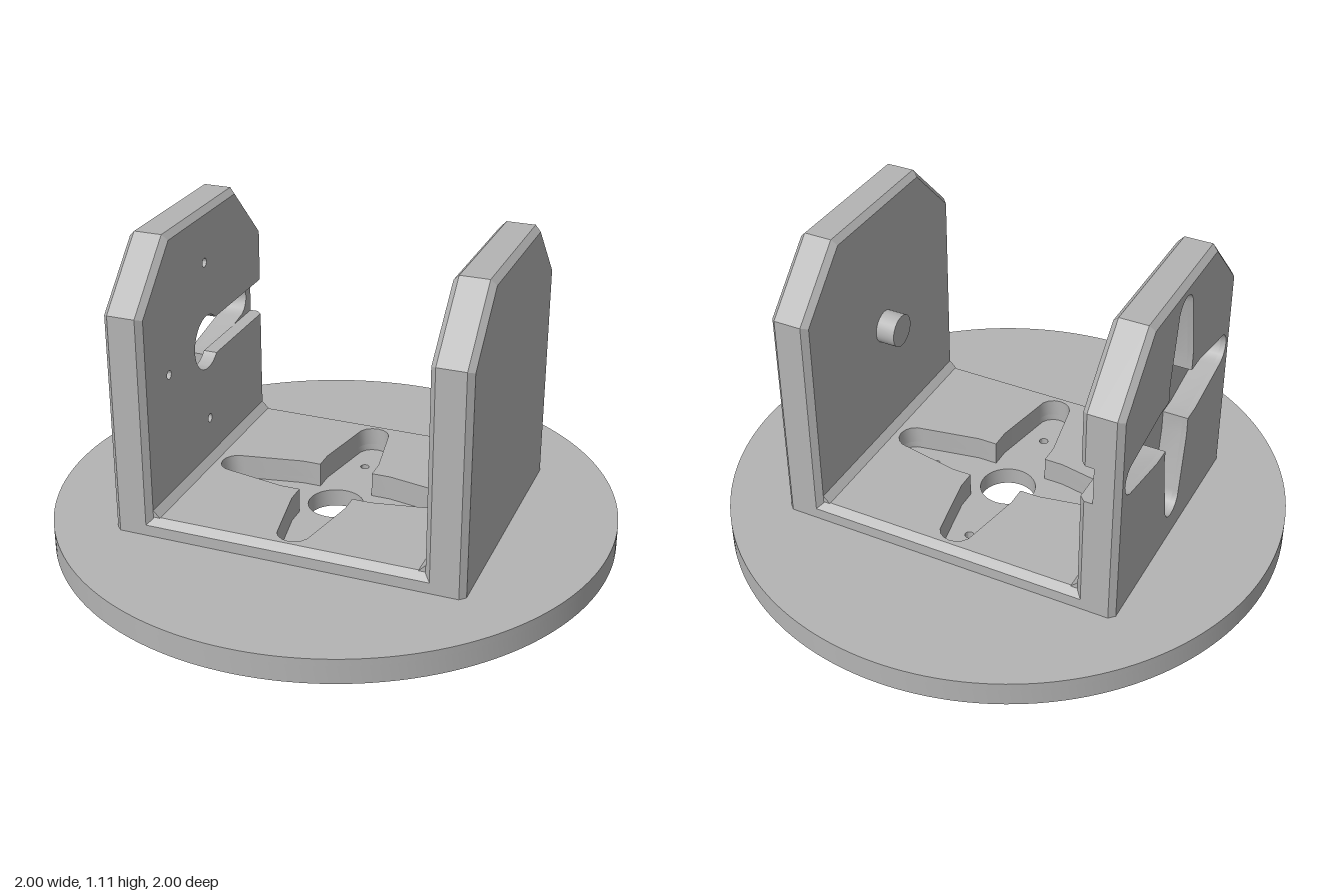
import * as THREE from 'three';
import { toCreasedNormals } from 'three/addons/utils/BufferGeometryUtils.js';

const W = 0.485, TOP = 1.11, SHOULDER = 0.89, BEVEL = 0.02;
const INNER = 0.49, THICK = 0.14, AXIS_Y = 0.62;

function circle(x, y, r) {
  return new THREE.Path().absarc(x, y, r, 0, Math.PI * 2, false);
}

// four small screw holes around a centre
function screwHoles(cy) {
  return [[0.3, 0], [0, 0.3], [-0.3, 0], [0, -0.3]].map(([x, y]) => circle(x, cy + y, 0.016));
}

// four-armed tapered recess outline
function crossHole(cy) {
  const arm = [[0.1, -0.1], [0.17, -0.1], [0.385, -0.06]];
  for (let i = 1; i < 8; i++) {
    const a = -Math.PI / 2 + (i * Math.PI) / 8;
    arm.push([0.385 + 0.06 * Math.cos(a), 0.06 * Math.sin(a)]);
  }
  arm.push([0.385, 0.06], [0.17, 0.1]);
  const pts = [];
  for (let k = 0; k < 4; k++) {
    for (const p of arm) {
      pts.push(new THREE.Vector2(...p).rotateAround(new THREE.Vector2(), (k * Math.PI) / 2).add(new THREE.Vector2(0, cy)));
    }
  }
  return new THREE.Path(pts);
}

function rect(x, y) {
  return new THREE.Shape([[-x, -y], [x, -y], [x, y], [-x, y]].map((p) => new THREE.Vector2(...p)));
}

// wall outline, optionally with the keyhole slot open at the back
function wallShape(slot, holes = []) {
  const s = new THREE.Shape();
  s.moveTo(-W, 0.08);
  s.lineTo(W, 0.08);
  s.lineTo(W, SHOULDER);
  s.lineTo(0.27, TOP);
  s.lineTo(-0.27, TOP);
  s.lineTo(-W, SHOULDER);
  if (slot) {
    const a = Math.asin(0.7);
    s.lineTo(-W, AXIS_Y + 0.07);
    s.absarc(0, AXIS_Y, 0.1, Math.PI - a, -Math.PI + a, true);
    s.lineTo(-W, AXIS_Y - 0.07);
  }
  s.holes.push(...holes);
  return s;
}

function extrude(shape, depth) {
  return new THREE.ExtrudeGeometry(shape, { depth, bevelEnabled: false, curveSegments: 24 });
}

// pull the outline of one cap inward to make a chamfer
function chamfer(geo, capZ) {
  const p = geo.attributes.position;
  for (let i = 0; i < p.count; i++) {
    if (Math.abs(p.getZ(i) - capZ) > 1e-5) continue;
    const x = p.getX(i), y = p.getY(i);
    if (Math.abs(Math.abs(x) - W) < 1e-5) {
      p.setX(i, Math.sign(x) * (W - BEVEL));
      if (Math.abs(y - SHOULDER) < 1e-5) p.setY(i, y - 0.008);
    } else if (Math.abs(y - TOP) < 1e-5) {
      p.setXY(i, Math.sign(x) * 0.262, TOP - BEVEL);
    }
  }
  return geo;
}

export function createModel() {
  const model = new THREE.Group();
  const grey = new THREE.MeshStandardMaterial({ color: 0xb4b4b4 });
  grey.name = 'plain grey';

  const add = (parent, name, geo) => {
    const flat = geo.index ? geo.toNonIndexed() : geo;
    const mesh = new THREE.Mesh(toCreasedNormals(flat, 0.5), grey);
    mesh.name = name;
    parent.add(mesh);
    return mesh;
  };

  const turned = new THREE.Group();
  turned.name = 'turnedAssembly';
  turned.rotation.y = -0.05;
  model.add(turned);

  // horizontal layers: drilled disc, recessed disc top, bracket floor
  const layer = (name, shape, holes, y0, y1) => {
    shape.holes.push(...holes);
    add(turned, name, extrude(shape, y1 - y0).rotateX(-Math.PI / 2).translate(0, y0, 0));
  };
  const disc = () => new THREE.Shape(circle(0, 0, 1).getPoints(96).slice(0, -1));
  layer('discBottom', disc(), [circle(0, 0, 0.1), ...screwHoles(0)], 0, 0.065);
  layer('discTop', disc(), [crossHole(0)], 0.065, 0.09);
  layer('bracketFloor', rect(INNER, 0.46), [crossHole(0)], 0.09, 0.155);

  // chamfered floor edges at front and back
  for (const s of [1, -1]) {
    const edge = new THREE.Shape([[0.46, 0.085], [W, 0.085], [W, 0.13], [0.46, 0.155]]
      .map(([z, y]) => new THREE.Vector2(-s * z, y)));
    add(turned, s > 0 ? 'frontFloorEdge' : 'backFloorEdge',
      extrude(edge, 2 * INNER + 0.04).rotateY(Math.PI / 2).translate(-INNER - 0.02, 0, 0));
    // small fillet where floor meets wall
    const fillet = new THREE.Shape([[INNER, 0.155], [INNER - 0.025, 0.155], [INNER, 0.18]]
      .map(([x, y]) => new THREE.Vector2(s * x, y)));
    add(turned, s > 0 ? 'leftFillet' : 'rightFillet', extrude(fillet, 0.93).translate(0, 0, -0.465));
  }

  // walls are stacked from the inner face outwards: [start, end, shape, chamfered cap]
  const wall = (name, side, layers) => {
    const g = new THREE.Group();
    g.name = name;
    turned.add(g);
    layers.forEach(([d0, d1, shape, cap], i) => {
      const geo = extrude(shape, d1 - d0);
      if (cap === 'inner') chamfer(geo, 0);
      if (cap === 'outer') chamfer(geo, d1 - d0);
      geo.rotateY((side * Math.PI) / 2).translate(side * (INNER + d0), 0, 0);
      add(g, name + 'Layer' + (i + 1), geo);
    });
  };
  wall('leftWall', 1, [
    [0, BEVEL, wallShape(false), 'inner'],
    [BEVEL, THICK - BEVEL, wallShape(false)],
    [THICK - BEVEL, THICK, wallShape(false), 'outer'],
  ]);
  const drilled = () => wallShape(true, screwHoles(AXIS_Y).filter((_, i) => i !== 2));
  const recessed = () => wallShape(false, [crossHole(AXIS_Y)]);
  wall('rightWall', -1, [
    [0, BEVEL, drilled(), 'inner'],
    [BEVEL, 0.05, drilled()],
    [0.05, THICK - BEVEL, recessed()],
    [THICK - BEVEL, THICK, recessed(), 'outer'],
  ]);

  // pivot pin on the inside of the left wall
  add(turned, 'pivotPin', new THREE.CylinderGeometry(0.06, 0.06, 0.08, 32).rotateZ(Math.PI / 2).translate(0.46, AXIS_Y, 0));

  return model;
}
